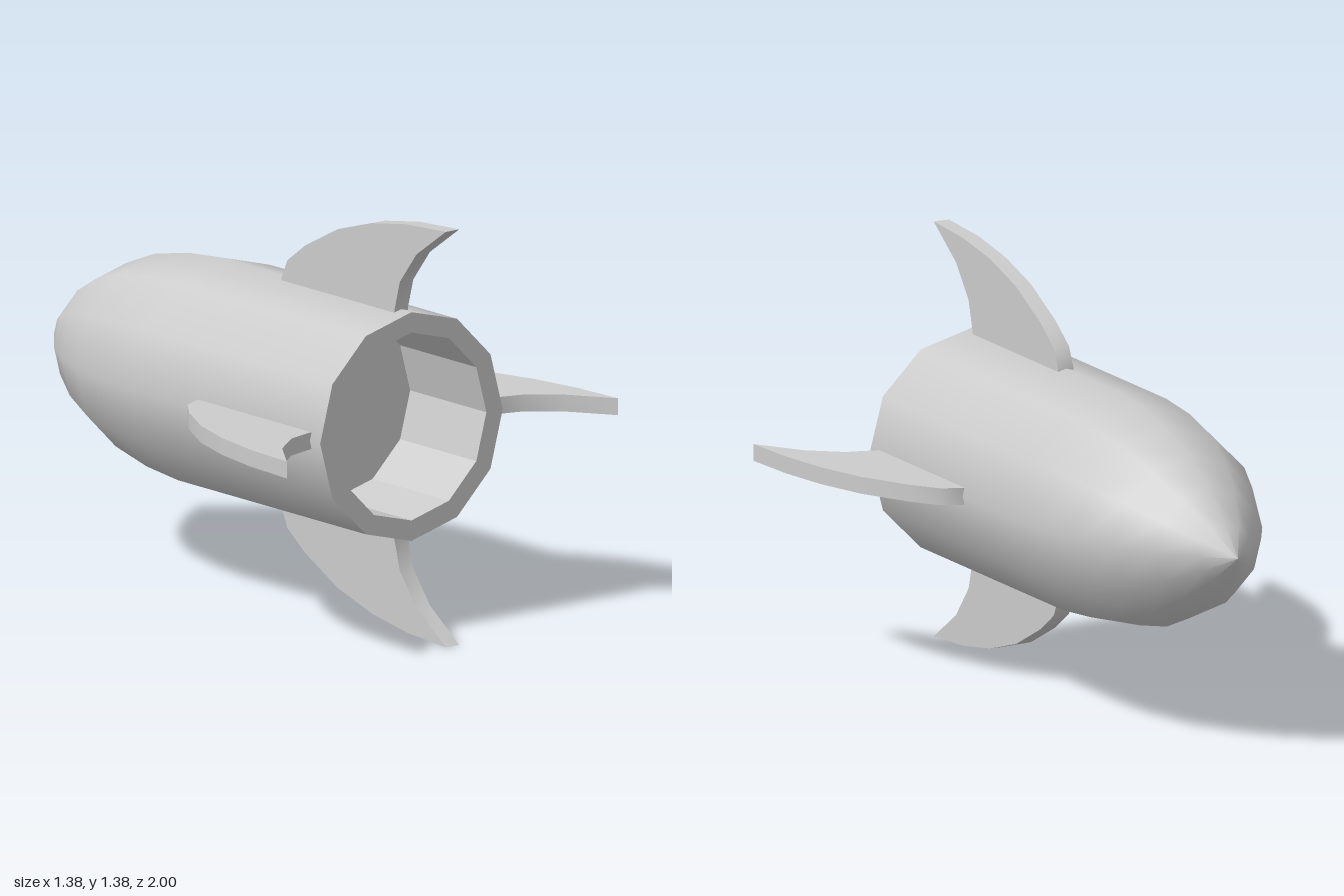
import * as THREE from 'three';
import { toCreasedNormals } from 'three/addons/utils/BufferGeometryUtils.js';

const SIDES = 12;
const AXIS_HEIGHT = 0.69;
const FIN_THICKNESS = 0.056;

const vectors = (pairs) => pairs.map(([a, b]) => new THREE.Vector2(a, b));

// Revolves [radius, z] pairs about the z axis, listed from the tail to the nose
function revolve(pairs) {
  const points = vectors(pairs.map(([r, z]) => [r, -z]));
  return new THREE.LatheGeometry(points, SIDES).rotateX(-Math.PI / 2);
}

export function createModel() {
  const rocket = new THREE.Group();
  rocket.name = 'rocket';
  const smooth = new THREE.MeshStandardMaterial({ color: 0xcccccc });
  const flat = new THREE.MeshStandardMaterial({ color: 0xcccccc, flatShading: true });

  const add = (name, geometry, material) => {
    const mesh = new THREE.Mesh(geometry, material);
    mesh.name = name;
    mesh.position.y = AXIS_HEIGHT;
    rocket.add(mesh);
    return mesh;
  };

  // Straight hull running into the pointed nose
  add('hull', revolve([
    [0.38, 0.79], [0.38, -0.17], [0.365, -0.34], [0.33, -0.52],
    [0.27, -0.67], [0.195, -0.8], [0.097, -0.92], [0, -1],
  ]), smooth);

  // Hollow exhaust: floor, inner wall and rim
  add('exhaust', revolve([
    [0, 0.4], [0.312, 0.4], [0.312, 0.79], [0.38, 0.79],
  ]), flat);

  // Swept fin outline as [radius, z]
  const outline = new THREE.Shape(vectors([
    [0.36, 0.16], [0.38, 0.16], [0.445, 0.19], [0.51, 0.28], [0.595, 0.445],
    [0.648, 0.62], [0.678, 0.8], [0.69, 1],
    [0.587, 0.85], [0.48, 0.765], [0.38, 0.737], [0.36, 0.737],
  ]));
  const plate = new THREE.ExtrudeGeometry(outline, { depth: FIN_THICKNESS, bevelEnabled: false });
  plate.translate(0, 0, -FIN_THICKNESS / 2).rotateX(Math.PI / 2);
  const finGeometry = toCreasedNormals(plate, 0.6);

  // Four fins around the hull
  ['leftFin', 'topFin', 'rightFin', 'bottomFin'].forEach((name, i) => {
    add(name, finGeometry, smooth).rotation.z = (i * Math.PI) / 2;
  });

  return rocket;
}
